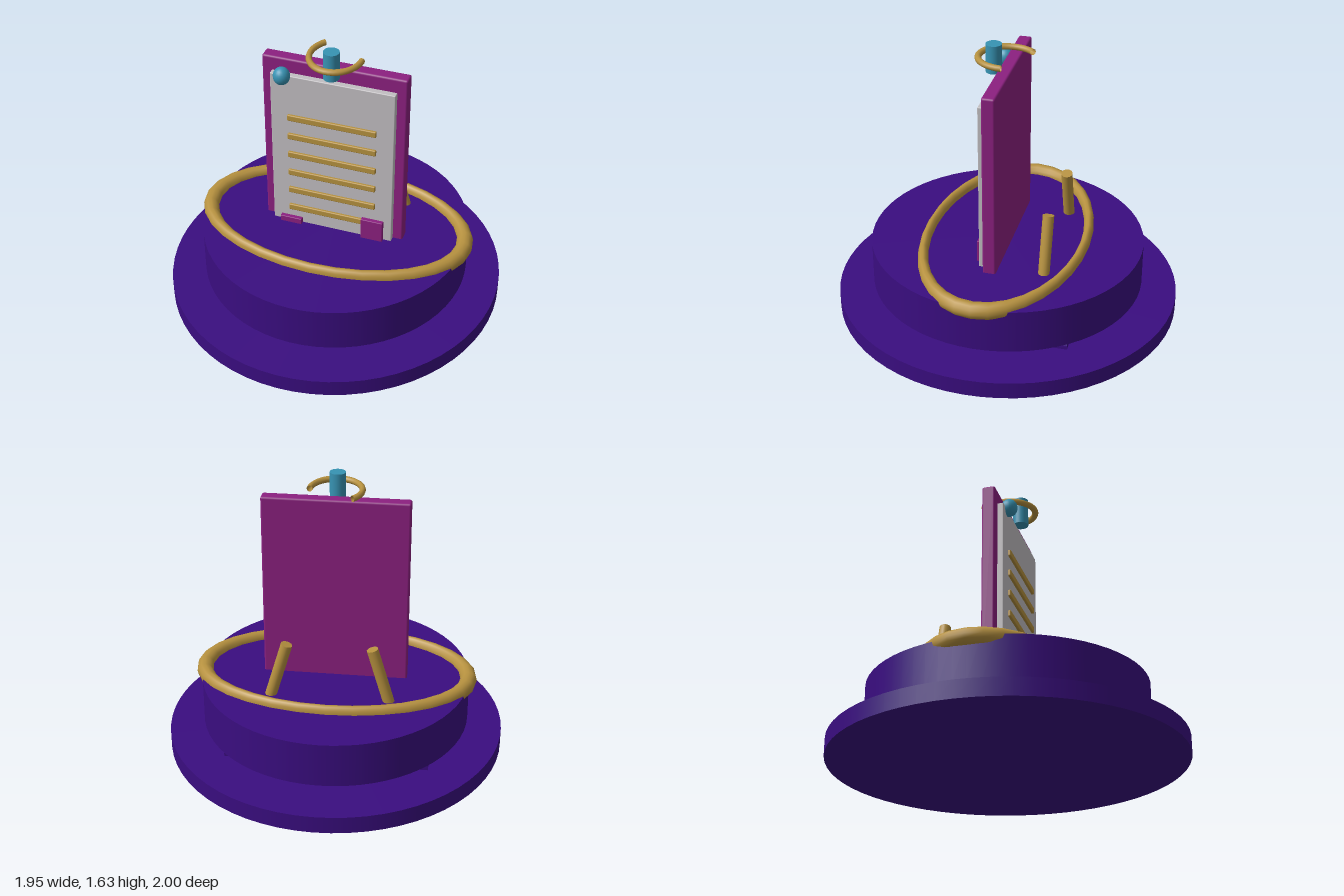
import * as THREE from 'three';
import { RoundedBoxGeometry } from 'three/addons/geometries/RoundedBoxGeometry.js';

function material(name, color, side = THREE.FrontSide) {
  const m = new THREE.MeshStandardMaterial({ color, side });
  m.name = name;
  return m;
}

export function createModel() {
  const purple = material('deep purple', 0x3a0d80);
  const magenta = material('magenta', 0x8c2080);
  const paper = material('pale grey', 0xc2bfc2);
  const gold = material('gold', 0xb6913f, THREE.DoubleSide);
  const teal = material('teal', 0x3793b3);

  const model = new THREE.Group();
  model.name = 'noticeBoardOnPedestal';

  function add(name, geometry, mat, x, y, z) {
    const mesh = new THREE.Mesh(geometry, mat);
    mesh.name = name;
    mesh.position.set(x, y, z);
    model.add(mesh);
    return mesh;
  }
  // Box given by its lower and upper limits on each axis
  function block(name, mat, [x0, x1], [y0, y1], [z0, z1], radius) {
    const geo = new RoundedBoxGeometry(x1 - x0, y1 - y0, z1 - z0, 2, radius);
    return add(name, geo, mat, (x0 + x1) / 2, (y0 + y1) / 2, (z0 + z1) / 2);
  }

  // Slightly oval base and the drum floating above it
  add('baseDisc', new THREE.CylinderGeometry(1, 1, 0.1, 64), purple, 0, 0.05, 0).scale.x = 0.977;
  add('drum', new THREE.CylinderGeometry(0.795, 0.795, 0.26, 64), purple, 0, 0.29, 0).scale.x = 0.977;

  // Flattened hoop lying on the drum
  const hoop = new THREE.TorusGeometry(0.773, 0.048, 12, 32).rotateX(Math.PI / 2).scale(1, 1, 0.595);
  add('hoop', hoop, gold, 0, 0.417, 0);

  // Board with its sheet and ruled lines
  block('board', magenta, [-0.417, 0.417], [0.4, 1.51], [-0.036, 0.04], 0.012);
  block('sheet', paper, [-0.36, 0.36], [0.41, 1.425], [0.035, 0.075], 0.005);
  for (let i = 0; i < 6; i++) {
    const y = 0.525 + i * 0.126;
    block('ruledLine', gold, [-0.26, 0.26], [y - 0.019, y + 0.019], [0.07, 0.09], 0.006);
  }

  // Corner tabs: a tall one on the left side, a low one on the right
  block('tallTab', magenta, [0.182, 0.312], [0.41, 0.552], [0.06, 0.1], 0.004);
  block('lowTab', magenta, [-0.312, -0.182], [0.41, 0.455], [0.06, 0.1], 0.004);

  // Pin in the corner of the sheet
  add('pin', new THREE.SphereGeometry(0.048, 20, 14), teal, -0.285, 1.428, 0.088).scale.y = 1.1;

  // Top peg with an open ring around it
  add('peg', new THREE.CylinderGeometry(0.045, 0.045, 0.165, 24), teal, 0, 1.552, 0.079);
  const ring = new THREE.TorusGeometry(0.155, 0.018, 10, 24, Math.PI * 1.25).rotateX(Math.PI / 2).scale(0.94, 1, 1.06);
  add('openRing', ring, gold, 0, 1.56, 0);

  // Rear struts leaning inwards, each with a foot pad
  for (const side of [-1, 1]) {
    const low = new THREE.Vector3(side * 0.425, 0.11, -0.295);
    const high = new THREE.Vector3(side * 0.24, 0.742, -0.295);
    const along = high.clone().sub(low);
    const strut = add('strut', new THREE.CylinderGeometry(0.033, 0.033, along.length(), 16), gold, 0, 0, 0);
    strut.position.copy(low).add(high).multiplyScalar(0.5);
    strut.quaternion.setFromUnitVectors(new THREE.Vector3(0, 1, 0), along.normalize());

    // Pad profile with rounded upper corners
    const pad = new THREE.Shape();
    pad.moveTo(-0.146, 0);
    pad.lineTo(0.146, 0);
    pad.lineTo(0.146, 0.025);
    pad.quadraticCurveTo(0.146, 0.05, 0.115, 0.05);
    pad.lineTo(-0.115, 0.05);
    pad.quadraticCurveTo(-0.146, 0.05, -0.146, 0.025);
    const padGeo = new THREE.ExtrudeGeometry(pad, { depth: 0.155, bevelEnabled: false, curveSegments: 5 });
    add('footPad', padGeo, purple, side * 0.433, 0.092, -0.487);
  }

  return model;
}
